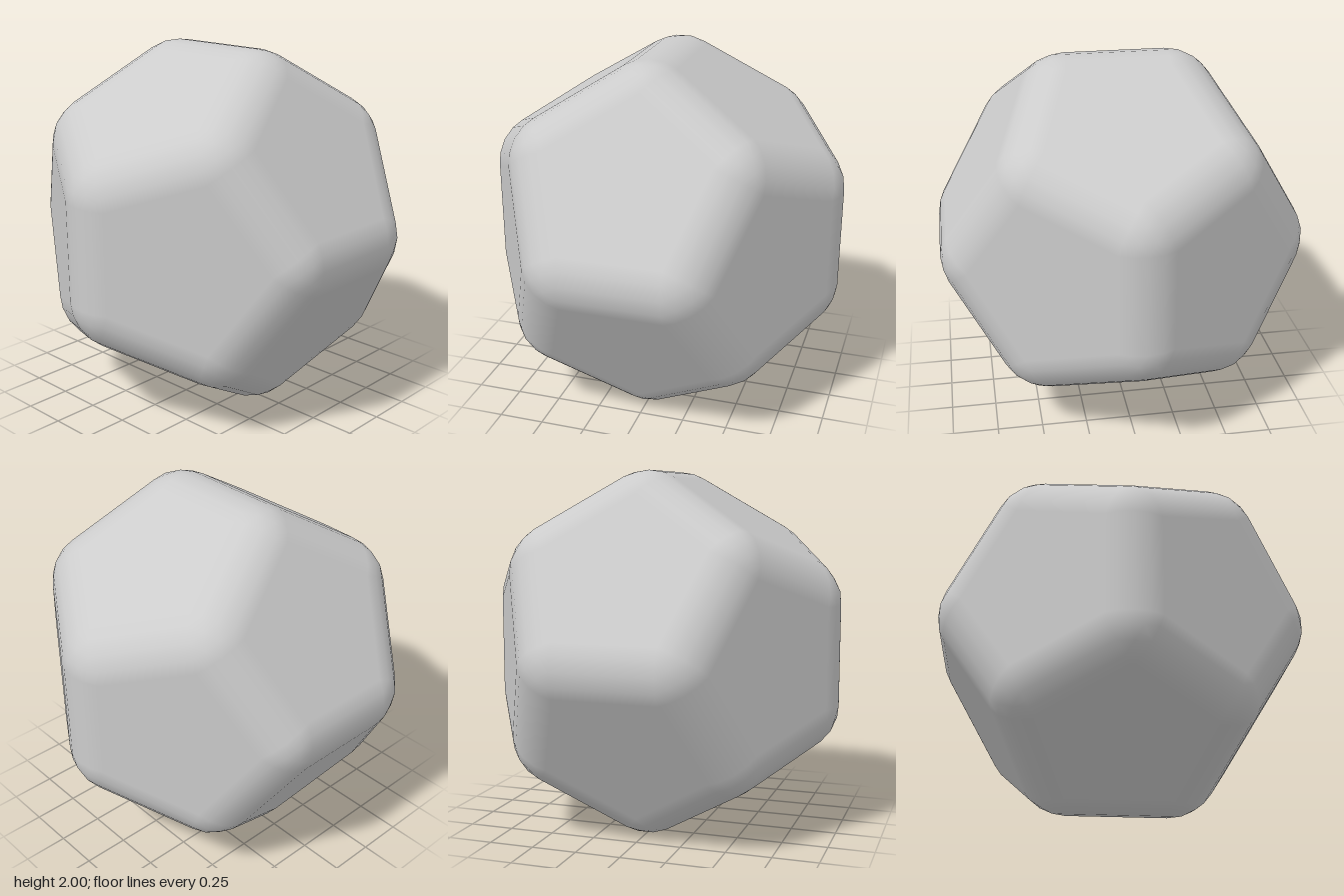
import * as THREE from 'three';

const PHI = (1 + Math.sqrt(5)) / 2;
const RADIUS = 0.277;             // rounding of edges and corners
const MID = 1 - RADIUS;           // distance from centre to the core's edges
const STEPS = 4;                  // segments across each rounding

// All sign variants of (a, b, c) and its cyclic rotations
function cyclic(a, b, c) {
  const out = [];
  for (const sa of a ? [-1, 1] : [1]) for (const sb of b ? [-1, 1] : [1]) for (const sc of c ? [-1, 1] : [1]) {
    const [x, y, z] = [a * sa, b * sb, c * sc];
    out.push(new THREE.Vector3(x, y, z), new THREE.Vector3(z, x, y), new THREE.Vector3(y, z, x));
  }
  return out;
}

// A dodecahedron core swept by a sphere: flat pentagons, round edges, round corners
function roundedDodecahedron() {
  const s = MID / PHI;
  const corners = cyclic(1 / PHI, 0, PHI);
  for (const x of [-1, 1]) for (const y of [-1, 1]) for (const z of [-1, 1]) corners.push(new THREE.Vector3(x, y, z));
  corners.forEach(c => c.multiplyScalar(s));
  const normals = cyclic(1, PHI, 0).map(n => n.normalize());
  const inradius = Math.max(...corners.map(c => c.dot(normals[0])));
  const touches = (c, n) => c.dot(n) > inradius - 1e-4;

  const position = [], normal = [];
  const point = (core, n) => ({ p: core.clone().addScaledVector(n, RADIUS), n });
  function tri(a, b, c) {
    const facing = b.p.clone().sub(a.p).cross(c.p.clone().sub(a.p));
    const order = facing.dot(a.n) > 0 ? [a, b, c] : [a, c, b];
    for (const v of order) {
      position.push(...v.p.toArray());
      normal.push(...v.n.toArray());
    }
  }

  // flat pentagons
  for (const n of normals) {
    const ring = corners.filter(c => touches(c, n));
    const u = ring[0].clone().addScaledVector(n, -inradius);
    const w = n.clone().cross(u);
    const angle = c => Math.atan2(c.dot(w), c.dot(u));
    ring.sort((a, b) => angle(a) - angle(b));
    for (let i = 1; i < 4; i++) tri(point(ring[0], n), point(ring[i], n), point(ring[i + 1], n));
  }

  // rounded edges
  corners.forEach((a, i) => corners.slice(i + 1).forEach(b => {
    if (Math.abs(a.distanceTo(b) - 2 * s / PHI) > 1e-4) return;
    const [n0, n1] = normals.filter(n => touches(a, n) && touches(b, n));
    const at = k => n0.clone().lerp(n1, k / STEPS).normalize();
    for (let k = 0; k < STEPS; k++) {
      const [m0, m1] = [at(k), at(k + 1)];
      tri(point(a, m0), point(b, m0), point(b, m1));
      tri(point(a, m0), point(b, m1), point(a, m1));
    }
  }));

  // rounded corners
  for (const c of corners) {
    const [n0, n1, n2] = normals.filter(n => touches(c, n));
    const at = (i, j) => point(c, new THREE.Vector3()
      .addScaledVector(n0, STEPS - i - j).addScaledVector(n1, i).addScaledVector(n2, j).normalize());
    for (let i = 0; i < STEPS; i++) for (let j = 0; j < STEPS - i; j++) {
      tri(at(i, j), at(i + 1, j), at(i, j + 1));
      if (i + j < STEPS - 1) tri(at(i + 1, j), at(i + 1, j + 1), at(i, j + 1));
    }
  }

  const geometry = new THREE.BufferGeometry();
  geometry.setAttribute('position', new THREE.Float32BufferAttribute(position, 3));
  geometry.setAttribute('normal', new THREE.Float32BufferAttribute(normal, 3));
  return geometry;
}

export function createModel() {
  const group = new THREE.Group();
  const body = new THREE.Mesh(roundedDodecahedron(), new THREE.MeshStandardMaterial({ color: 0xcccccc }));
  body.name = 'roundedDodecahedron';
  body.position.y = 1;
  group.add(body);
  return group;
}
